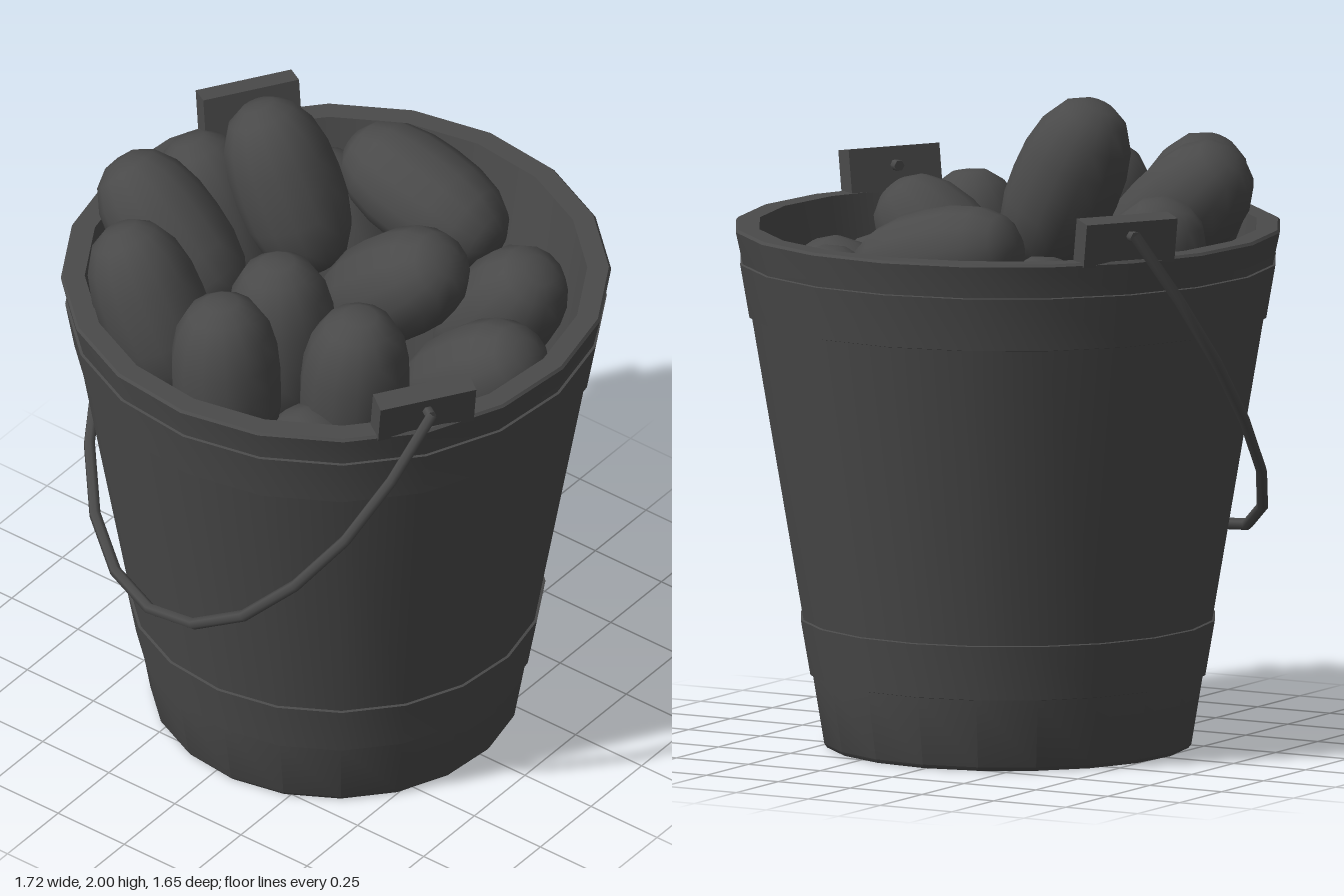
import * as THREE from 'three';
import { toCreasedNormals } from 'three/addons/utils/BufferGeometryUtils.js';

const material = new THREE.MeshStandardMaterial({ color: 0x4a4a4a });

function part(name, geometry, parent) {
  const mesh = new THREE.Mesh(geometry, material);
  mesh.name = name;
  parent.add(mesh);
  return mesh;
}

// Turned bucket: recessed base, tapered wall with two raised bands, rim, inside
function bucketGeometry() {
  const wall = (y) => 0.555 + 0.17 * y;
  const band = 0.008;
  const profile = [
    [0, 0.03], [0.5, 0.03], [0.505, 0], [0.549, 0], [0.558, 0.012],
    [wall(0.22), 0.22], [wall(0.22) + band, 0.222], [wall(0.39) + band, 0.388], [wall(0.39), 0.39],
    [wall(1.31), 1.31], [wall(1.31) + band, 1.312], [wall(1.475) + band, 1.473], [wall(1.475), 1.475],
    [0.827, 1.572], [0.82, 1.58], [0.755, 1.58], [0.5, 0.09], [0, 0.09],
  ].map(([r, y]) => new THREE.Vector2(r, y));
  return toCreasedNormals(new THREE.LatheGeometry(profile, 20), 0.5);
}

// Unit potato: a sphere swollen into a blunt-ended superellipsoid
function potatoGeometry() {
  const power = 2.45;
  const geometry = new THREE.SphereGeometry(1, 14, 10);
  const { position, normal } = geometry.attributes;
  const v = new THREE.Vector3();
  for (let i = 0; i < position.count; i++) {
    v.fromBufferAttribute(position, i);
    const radius = Math.hypot(v.x, v.z);
    const fit = (radius ** power + Math.abs(v.y) ** power) ** (-1 / power);
    position.setXYZ(i, v.x * fit, v.y * fit, v.z * fit);
    const side = radius ** (power - 2);
    v.set(v.x * side, v.y * Math.abs(v.y) ** (power - 2), v.z * side).normalize();
    normal.setXYZ(i, v.x, v.y, v.z);
  }
  return geometry;
}

export function createModel() {
  const model = new THREE.Group();
  model.name = 'bucketOfPotatoes';

  // Bucket assembly, turned so the ears lie along its own x axis
  const bucket = new THREE.Group();
  bucket.name = 'bucket';
  bucket.position.x = 0.035;
  bucket.rotation.y = THREE.MathUtils.degToRad(-33);
  model.add(bucket);
  part('bucketBody', bucketGeometry(), bucket);

  // Ears leaning with the wall, and the pins that carry the handle
  const pinHeight = 1.655;
  for (const side of [1, -1]) {
    const ear = part('ear', new THREE.BoxGeometry(0.07, 0.135, 0.305), bucket);
    ear.position.set(side * 0.785, 1.638, 0);
    ear.rotation.z = side * -0.17;
    const pin = part('handlePin', new THREE.CylinderGeometry(0.017, 0.017, 0.13, 6), bucket);
    pin.rotation.z = Math.PI / 2;
    pin.position.set(side * 0.79, pinHeight, 0);
  }

  // Handle bow, swung down to rest against the front of the bucket
  const half = [[0.855, -0.01], [0.875, 0.28], [0.825, 0.6], [0.62, 0.97], [0.33, 1.18]];
  const bow = [...half, [0, 1.25], ...half.map(([x, s]) => [-x, s]).reverse()]
    .map(([x, s]) => new THREE.Vector3(x, -s, 0));
  const handle = part('handle',
    new THREE.TubeGeometry(new THREE.CatmullRomCurve3(bow), 14, 0.018, 6), bucket);
  handle.position.y = pinHeight;
  handle.rotation.x = THREE.MathUtils.degToRad(-34.2);

  // Potatoes: x, y, z, lean in degrees from upright (positive leans to -x)
  const potatoes = [
    [-0.27, 1.30, -0.44, 30], [-0.02, 1.53, -0.51, 75], [0.32, 1.28, -0.44, -32],
    [-0.50, 1.45, -0.12, 25], [-0.22, 1.727, -0.095, 25], [0.15, 1.49, -0.14, -47],
    [0.45, 1.28, -0.14, -47], [-0.44, 1.61, 0.19, 46], [-0.03, 1.41, 0.18, 4],
    [0.29, 1.41, 0.24, -4], [0.56, 1.20, 0.20, -12], [-0.31, 1.557, 0.455, 27],
    [0.015, 1.485, 0.515, 4], [0.23, 1.12, 0.42, -10],
  ];
  const shape = potatoGeometry();
  const pile = new THREE.Group();
  pile.name = 'potatoes';
  model.add(pile);
  potatoes.forEach(([x, y, z, lean]) => {
    const potato = part('potato', shape, pile);
    potato.position.set(x, y, z);
    potato.rotation.z = THREE.MathUtils.degToRad(lean);
    potato.scale.set(0.167, 0.285, 0.167);
  });

  return model;
}
